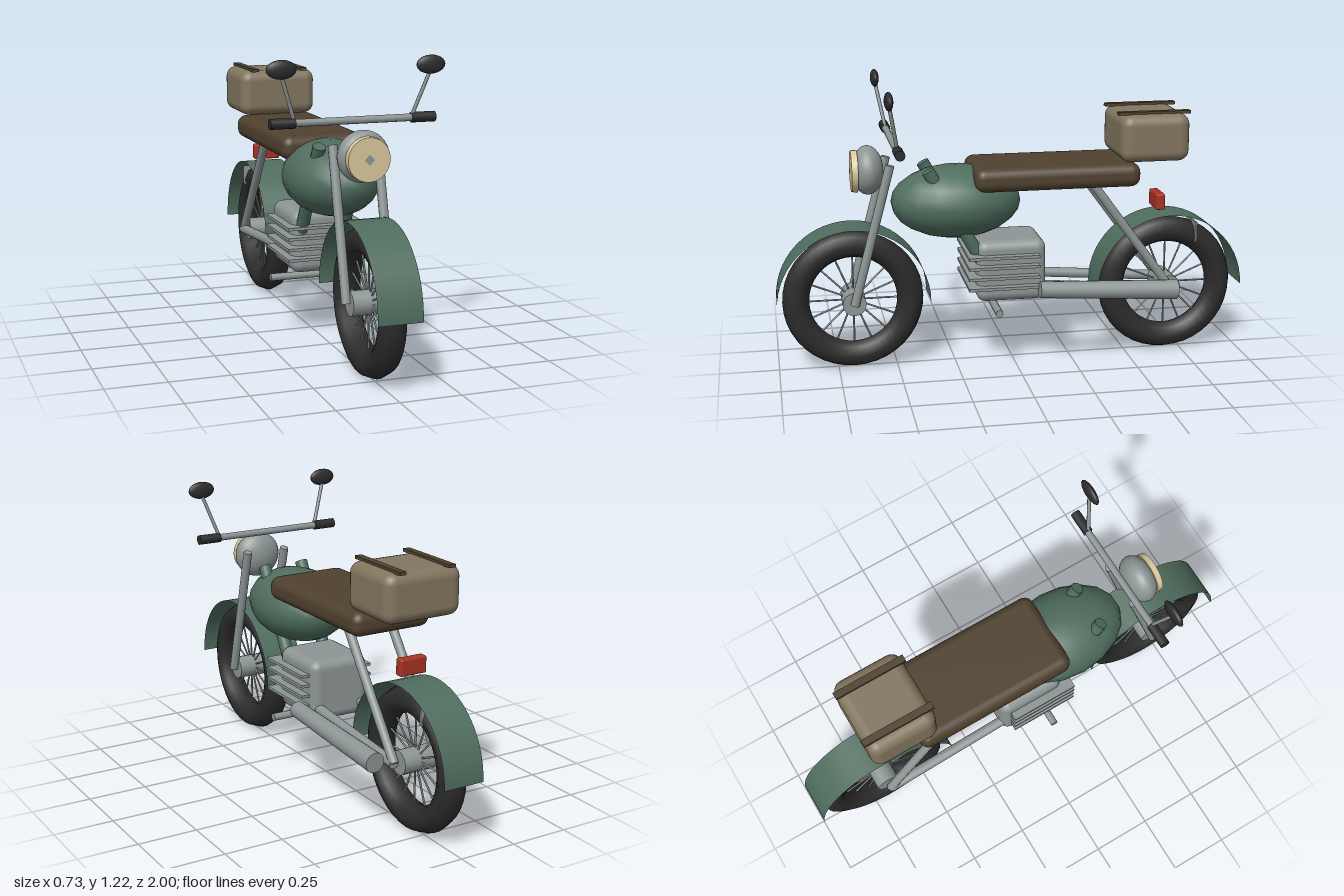
import * as THREE from 'three';
import { RoundedBoxGeometry } from 'three/addons/geometries/RoundedBoxGeometry.js';

const paint = (name, color, side = THREE.FrontSide) => {
  const m = new THREE.MeshStandardMaterial({ color, side });
  m.name = name;
  return m;
};

export function createModel() {
  const green = paint('green paint', 0x4f6d5e, THREE.DoubleSide);
  const steel = paint('grey steel', 0x8d9695);
  const rubber = paint('black rubber', 0x2c2c2c);
  const leather = paint('brown leather', 0x4f412e);
  const canvas = paint('tan canvas', 0x82765f);
  const cream = paint('cream lens', 0xd9c89c);
  const red = paint('red lens', 0xa83222);

  const model = new THREE.Group();
  model.name = 'motorcycle';

  const add = (name, geometry, material, x = 0, y = 0, z = 0, parent = model) => {
    const mesh = new THREE.Mesh(geometry, material);
    mesh.name = name;
    mesh.position.set(x, y, z);
    parent.add(mesh);
    return mesh;
  };
  // Round bar from a to b, with radius ra at a and rb at b
  const rod = (name, a, b, ra, material, rb = ra, parent = model, sides = 12) => {
    const p = new THREE.Vector3(...a), q = new THREE.Vector3(...b);
    const d = q.clone().sub(p);
    const mesh = add(name, new THREE.CylinderGeometry(rb, ra, d.length(), sides), material, 0, 0, 0, parent);
    mesh.position.copy(p).add(q).multiplyScalar(0.5);
    mesh.quaternion.setFromUnitVectors(new THREE.Vector3(0, 1, 0), d.normalize());
    return mesh;
  };
  const ellipsoid = (name, material, [x, y, z], [rx, ry, rz], w = 20, h = 14) =>
    add(name, new THREE.SphereGeometry(1, w, h).scale(rx, ry, rz), material, x, y, z);
  const roundBox = (name, material, w, h, d, r, y, z) =>
    add(name, new RoundedBoxGeometry(w, h, d, 3, r), material, 0, y, z);

  // Wheels with hub, spokes and a thin half-round mudguard
  for (const [label, z] of [['front', 0.68], ['rear', -0.68]]) {
    const wheel = new THREE.Group();
    wheel.name = label + 'Wheel';
    wheel.position.set(0, 0.3, z);
    model.add(wheel);
    const tyre = new THREE.TorusGeometry(0.241, 0.056, 8, 40).rotateY(Math.PI / 2).scale(1.04, 1, 1);
    add('tyre', tyre, rubber, 0, 0, 0, wheel);
    rod('hub', [-0.08, 0, 0], [0.08, 0, 0], 0.05, steel, 0.05, wheel, 16);
    for (let i = 0; i < 16; i++) {
      const a = (i / 16) * Math.PI * 2, c = Math.cos(a), s = Math.sin(a);
      rod('spoke', [0, 0.04 * s, 0.04 * c], [0, 0.2 * s, 0.2 * c], 0.004, steel, 0.004, wheel, 6);
    }
    const guard = new THREE.CylinderGeometry(0.32, 0.32, 0.18, 28, 1, true, 0, Math.PI);
    add(label + 'Mudguard', guard.rotateZ(Math.PI / 2), green, 0, 0.3, z);
  }

  // Body
  ellipsoid('fuelTank', green, [0, 0.71, 0.24], [0.19, 0.155, 0.275], 18, 12);
  roundBox('seat', leather, 0.36, 0.1, 0.7, 0.04, 0.822, -0.17);
  roundBox('luggageBox', canvas, 0.345, 0.2, 0.295, 0.045, 0.972, -0.583);
  roundBox('tailLight', red, 0.12, 0.07, 0.04, 0.008, 0.675, -0.64);
  add('numberPlate', new THREE.BoxGeometry(0.13, 0.09, 0.008), steel, 0, 0.535, -0.8);

  // Engine block with cooling fins and footrest bar
  roundBox('engine', steel, 0.27, 0.265, 0.295, 0.04, 0.423, 0.022);
  for (const y of [0.36, 0.405, 0.45, 0.493])
    add('coolingFin', new THREE.BoxGeometry(0.34, 0.012, 0.3), steel, 0, y, 0.06);
  rod('footrestBar', [-0.21, 0.266, 0.09], [0.21, 0.266, 0.09], 0.016, steel);
  rod('silencer', [0.19, 0.355, -0.085], [0.188, 0.322, -0.68], 0.035, steel, 0.042, model, 16);

  // Headlight, pole facing forward
  ellipsoid('headlight', steel, [0, 0.855, 0.607], [0.105, 0.102, 0.066], 24, 16);
  rod('headlightLens', [0, 0.852, 0.65], [0, 0.852, 0.676], 0.088, cream, 0.086, model, 24);
  add('lensCentre', new THREE.CircleGeometry(0.021, 4), steel, 0, 0.852, 0.679);

  // Handlebar
  rod('handlebar', [-0.3, 0.98, 0.505], [0.3, 0.98, 0.505], 0.015, steel);

  // Paired parts
  for (const s of [-1, 1]) {
    rod('forkLeg', [s * 0.093, 0.3, 0.68], [s * 0.093, 0.89, 0.522], 0.019, steel);
    rod('frameTube', [s * 0.092, 0.46, 0.14], [s * 0.092, 0.86, 0.367], 0.027, green);
    rod('swingArm', [s * 0.1, 0.3, -0.68], [s * 0.1, 0.35, -0.08], 0.022, steel);
    rod('rearStrut', [s * 0.1, 0.3, -0.68], [s * 0.1, 0.79, -0.32], 0.019, steel);
    rod('grip', [s * 0.24, 0.98, 0.505], [s * 0.34, 0.98, 0.505], 0.021, rubber);
    rod('mirrorStem', [s * 0.24, 0.98, 0.505], [s * 0.305, 1.17, 0.54], 0.008, steel, 0.008, model, 8);
    ellipsoid('mirror', rubber, [s * 0.305, 1.19, 0.542], [0.061, 0.037, 0.018], 18, 12);
    add('luggageStrap', new THREE.BoxGeometry(0.03, 0.013, 0.31), leather, s * 0.112, 1.076, -0.583);
  }
  return model;
}
